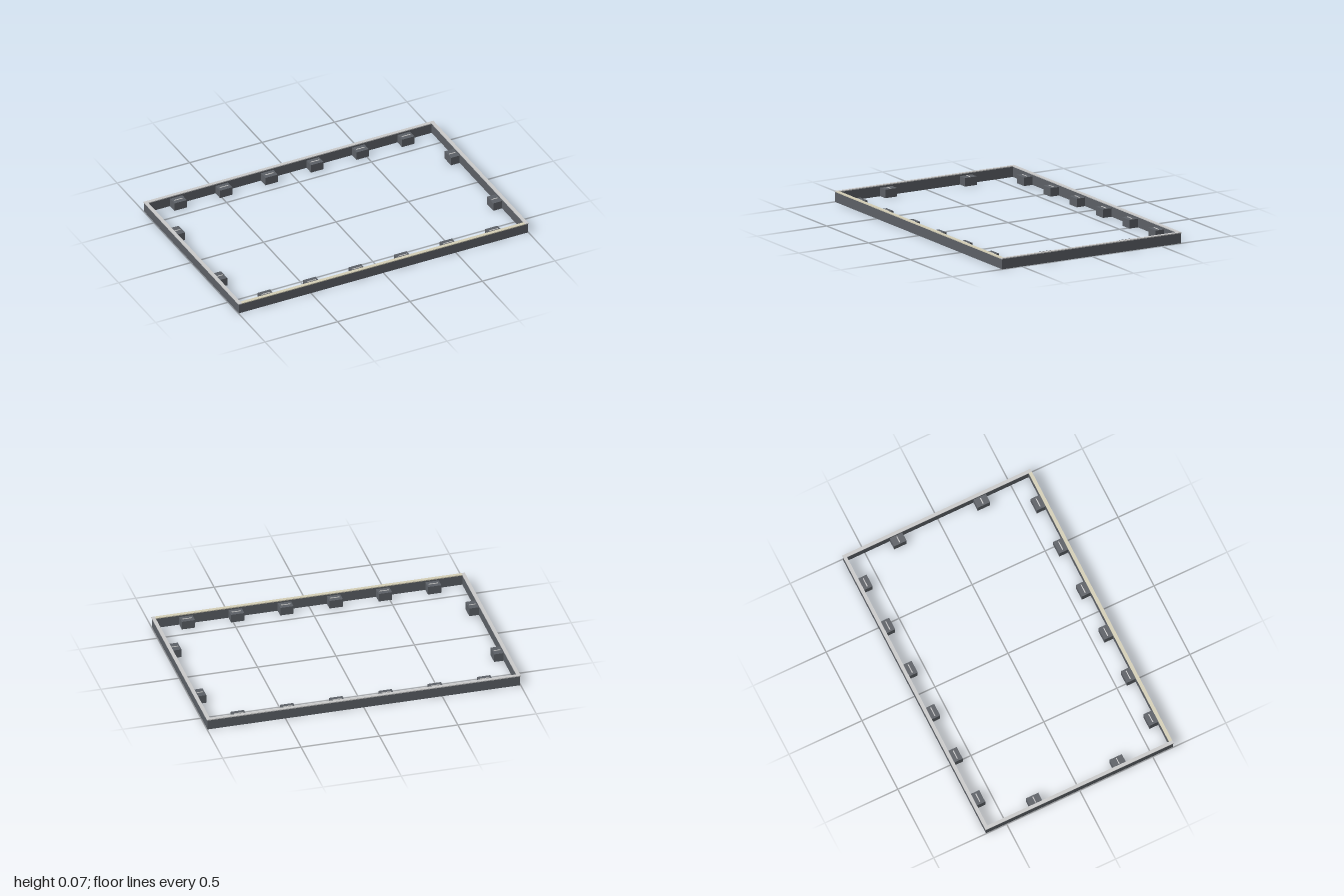
import * as THREE from 'three';

const dark = new THREE.MeshStandardMaterial({ color: 0x5c6066 });
const pale = new THREE.MeshStandardMaterial({ color: 0xcccccc });
const cream = new THREE.MeshStandardMaterial({ color: 0xd6d0b8 });

function addBox(parent, name, material, size, position) {
  const mesh = new THREE.Mesh(new THREE.BoxGeometry(...size), material);
  mesh.name = name;
  mesh.position.set(...position);
  parent.add(mesh);
}

// Closed rectangular path of half-width x and half-depth z
function rectangle(PathType, x, z) {
  return new PathType().moveTo(-x, -z).lineTo(x, -z).lineTo(x, z).lineTo(-x, z).closePath();
}

export function createModel() {
  const model = new THREE.Group();
  model.name = 'frame';
  const X = 1, Z = 0.644, wall = 0.022, lip = 0.003;
  const wallTop = 0.064, top = 0.07;

  // Upright wall running around the whole rectangle
  const outline = rectangle(THREE.Shape, X - lip, Z - lip);
  outline.holes.push(rectangle(THREE.Path, X - wall, Z - wall));
  const wallGeometry = new THREE.ExtrudeGeometry(outline, { depth: wallTop, bevelEnabled: false });
  wallGeometry.rotateX(-Math.PI / 2);
  const wallMesh = new THREE.Mesh(wallGeometry, dark);
  wallMesh.name = 'perimeterWall';
  model.add(wallMesh);

  // Thin pale capping strips, slightly proud of the wall
  const capY = (wallTop + top) / 2, capH = top - wallTop;
  for (const s of [-1, 1]) {
    addBox(model, s > 0 ? 'frontCap' : 'backCap', s > 0 ? cream : pale,
      [2 * (X - wall), capH, wall], [0, capY, s * (Z - wall / 2)]);
    addBox(model, s > 0 ? 'leftCap' : 'rightCap', pale,
      [wall, capH, 2 * Z], [s * (X - wall / 2), capY, 0]);
  }

  // Bracket blocks on the inside of the wall, each with a pale strip on top
  const blockH = 0.054;
  function addBlock(name, x, z, width, depth) {
    const block = new THREE.Group();
    block.name = name;
    block.position.set(x, 0, z);
    addBox(block, 'body', dark, [width, blockH, depth], [0, blockH / 2, 0]);
    addBox(block, 'strip', pale, [width * 0.7, 0.002, 0.006], [0, blockH + 0.001, 0]);
    model.add(block);
  }
  const long = 0.085, short = 0.06;
  for (const s of [-1, 1]) {
    for (let i = 0; i < 6; i++) {
      addBlock(s > 0 ? 'frontBlock' : 'backBlock', (i - 2.5) * 0.314, s * (Z - wall - short / 2), long, short);
    }
    for (const z of [-0.286, 0.286]) {
      addBlock(s > 0 ? 'leftBlock' : 'rightBlock', s * (X - wall - short / 2), z, short, long);
    }
  }
  return model;
}
